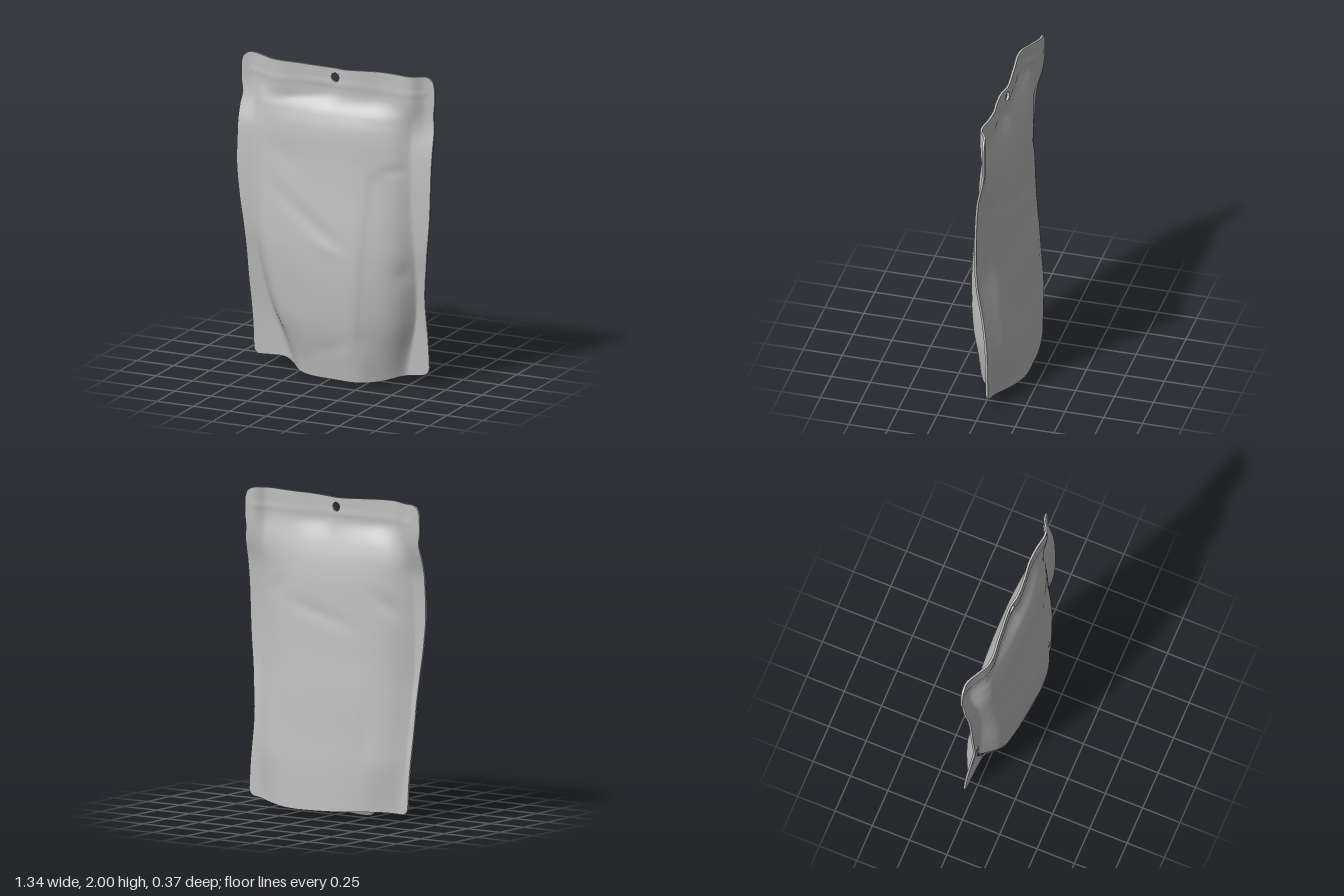
import * as THREE from 'three';

const NX = 80, NY = 100;          // grid across and up each panel
const HOLE = { i: 40, j: 97, x: 0, y: 1.925, r: 0.03 };
const FOIL = 0.007;               // half the thickness of the sealed foil
const { clamp, lerp, smoothstep } = THREE.MathUtils;

// Smooth curve through [position, value] pairs
function curve(...p) {
  const f = new THREE.CubicInterpolant(p.map(a => a[0]), p.map(a => a[1]), 1);
  const lo = p[0][0], hi = p[p.length - 1][0];
  return t => f.evaluate(Math.min(hi - 1e-6, Math.max(lo, t)))[0];
}

// Outline of the pouch
const leftEdge = curve([0, -0.59], [0.2, -0.592], [0.5, -0.605], [0.85, -0.62], [1.1, -0.65], [1.3, -0.668], [1.5, -0.669], [1.72, -0.667], [1.8, -0.657], [1.87, -0.668], [2, -0.668]);
const rightEdge = curve([0, 0.625], [0.15, 0.62], [0.5, 0.605], [0.8, 0.632], [1.05, 0.655], [1.4, 0.664], [1.73, 0.668], [1.8, 0.66], [1.87, 0.665], [2, 0.665]);
const topEdge = curve([-0.6, 2], [-0.3, 1.995], [0, 1.984], [0.25, 1.995], [0.6, 1.998]);
const frontBottom = curve([-0.6, 0.05], [-0.48, 0.06], [-0.36, 0.06], [-0.29, 0.025], [-0.2, 0.003], [0, 0.002], [0.32, 0.015], [0.45, 0.045], [0.62, 0.07]);
const backBottom = curve([-0.6, 0.05], [-0.4, 0.06], [-0.1, 0.045], [0.25, 0.04], [0.45, 0.055], [0.62, 0.07]);

// Depth of the seam, and the wave along the top edge
const seamZ = curve([0, -0.037], [0.4, -0.024], [0.7, 0.004], [0.9, 0.026], [1.2, 0.031], [1.5, 0.018], [1.75, -0.015], [2, -0.015]);
const topWave = curve([-0.67, -0.04], [-0.58, -0.042], [-0.5, -0.005], [-0.42, 0.035], [-0.2, 0.025], [0, 0.012], [0.06, 0.025], [0.2, 0.022], [0.3, 0.01], [0.4, 0.015], [0.53, 0.028], [0.6, -0.01], [0.67, -0.022]);

// Each panel: bulge depth up the pouch, side creases and bulge shape across
const frontPanel = {
  side: 1, bottom: frontBottom,
  depth: curve([0, 0.12], [0.1, 0.135], [0.3, 0.165], [0.5, 0.183], [0.8, 0.183], [1, 0.166], [1.2, 0.143], [1.4, 0.123], [1.62, 0.104], [1.72, 0.075], [1.85, 0.052]),
  left: curve([0, -0.32], [0.2, -0.38], [0.45, -0.47], [0.8, -0.54], [1.2, -0.555], [1.8, -0.57]),
  right: curve([0, 0.47], [0.2, 0.5], [0.45, 0.54], [0.7, 0.55], [1.2, 0.53], [1.8, 0.52]),
  across: curve([-1, 0], [-0.8, 0.6], [-0.6, 0.77], [-0.38, 0.87], [0, 0.96], [0.28, 1], [0.5, 0.9], [0.83, 0.5], [1, 0]),
  // folds and dents: x, y, half width, half height, tilt, depth
  dents: [[-0.12, 1.02, 0.28, 0.05, -0.6, -0.008], [0.02, 0.86, 0.12, 0.04, -0.3, 0.005],
    [-0.2, 0.5, 0.06, 0.2, 0.3, -0.005], [0.05, 0.22, 0.2, 0.05, 0.4, -0.004],
    [0.5, 0.72, 0.05, 0.06, 0, -0.012], [0.44, 1.38, 0.1, 0.035, 0.1, -0.008],
    [-0.3, 1.4, 0.15, 0.08, -0.7, -0.005], [-0.2, 1.79, 0.2, 0.02, 0.15, -0.008]],
};
const backPanel = {
  side: -1, bottom: backBottom,
  depth: curve([0, -0.182], [0.3, -0.167], [0.5, -0.152], [0.8, -0.132], [1, -0.114], [1.3, -0.094], [1.5, -0.079], [1.63, -0.058], [1.74, -0.028], [1.85, -0.022]),
  left: curve([0, -0.56], [0.5, -0.57], [1.2, -0.59], [1.8, -0.56]),
  right: curve([0, 0.59], [0.5, 0.58], [1.2, 0.57], [1.8, 0.53]),
  across: curve([-1, 0], [-0.8, 0.47], [-0.6, 0.76], [-0.2, 0.97], [0.1, 1], [0.42, 0.95], [0.72, 0.63], [0.92, 0.18], [1, 0]),
  dents: [[0.05, 1.26, 0.25, 0.05, 0.25, 0.007], [-0.3, 0.5, 0.06, 0.3, 0.15, 0.006],
    [0.35, 0.7, 0.06, 0.3, -0.1, 0.005], [-0.42, 1.35, 0.12, 0.05, 0.6, 0.006], [0.42, 1.4, 0.1, 0.05, -0.5, 0.006]],
};

// How far a rounded corner of radius r falls at distance d from the side
function cornerDrop(d, r) {
  return d < r ? r - Math.sqrt(Math.max(0, r * r - (r - d) ** 2)) : 0;
}

// A point on one panel at grid position i, j
function panelPoint(panel, i, j) {
  const t = i / NX, v = j / NY;
  const u = t - 0.6 / (2 * Math.PI) * Math.sin(2 * Math.PI * t);
  const l = leftEdge(v * 2), r = rightEdge(v * 2);
  let x = lerp(l, r, u);
  const d = Math.min(x - l, r - x);
  let y = lerp(panel.bottom(x) + cornerDrop(d, 0.045), topEdge(x) - cornerDrop(d, 0.07), v);
  // Draw the grid around the hanging hole into a ring
  const di = i - HOLE.i, dj = j - HOLE.j;
  if (Math.max(Math.abs(di), Math.abs(dj)) === 1) {
    const k = HOLE.r / Math.hypot(di, dj);
    x = HOLE.x + di * k;
    y = HOLE.y + dj * k;
  }
  // Middle surface, with the lower right corner swept back
  const sweep = 0.02 * (1 - smoothstep(y, 0, 0.6)) * smoothstep(-x, 0.2, 0.6);
  const c = lerp(seamZ(y) - sweep, topWave(x), smoothstep(y, 1.55, 1.85));
  const pl = panel.left(y), pr = panel.right(y);
  const q = clamp((2 * x - pl - pr) / (pr - pl), -1, 1);
  const inside = clamp(panel.across(q), 0, 1);
  const swell = inside ** (1.7 - 0.7 * smoothstep(y, 0, 0.4)) * (1 - smoothstep(y, 1.7, 1.84));
  let z = lerp(c + panel.side * FOIL, panel.depth(y), swell);
  for (const [dx, dy, w, h, tilt, a] of panel.dents) {
    const px = x - dx, py = y - dy, cs = Math.cos(tilt), sn = Math.sin(tilt);
    z += a * Math.exp(-(((px * cs + py * sn) / w) ** 2) - ((-px * sn + py * cs) / h) ** 2) * Math.min(1, swell * 2);
  }
  // Sunken fold down the front's left side
  if (panel.side > 0) {
    z -= 0.008 * swell * smoothstep(x, 0.17 + y * 0.06, 0.23 + y * 0.06) * smoothstep(y, 0.12, 0.3) * (1 - smoothstep(y, 1.3, 1.38));
  }
  // Zip ridge below the hanging hole
  z += panel.side * 0.004 * Math.exp(-(((y - 1.885) / 0.01) ** 2)) * smoothstep(d, 0.04, 0.07);
  return [x, y, z];
}

// Grid surface from a point rule
function surface(nx, ny, point, flip = false, skip = () => false) {
  const pos = [], index = [];
  for (let j = 0; j <= ny; j++) for (let i = 0; i <= nx; i++) pos.push(...point(i, j));
  for (let j = 0; j < ny; j++) for (let i = 0; i < nx; i++) {
    if (skip(i, j)) continue;
    const a = j * (nx + 1) + i, b = a + 1, d = a + nx + 1, c = d + 1;
    index.push(...(flip ? [a, c, b, a, d, c] : [a, b, c, a, c, d]));
  }
  const g = new THREE.BufferGeometry();
  g.setAttribute('position', new THREE.Float32BufferAttribute(pos, 3));
  g.setIndex(index);
  g.computeVertexNormals();
  return g;
}

export function createModel() {
  const group = new THREE.Group();
  const foil = new THREE.MeshStandardMaterial({ color: 0xc0c0c0, side: THREE.DoubleSide });
  foil.name = 'grey foil';
  const add = (name, geometry) => {
    const mesh = new THREE.Mesh(geometry, foil);
    mesh.name = name;
    group.add(mesh);
  };
  const front = (i, j) => panelPoint(frontPanel, i, j);
  const back = (i, j) => panelPoint(backPanel, i, j);
  const inHole = (i, j) => Math.abs(i + 0.5 - HOLE.i) < 1 && Math.abs(j + 0.5 - HOLE.j) < 1;

  add('frontPanel', surface(NX, NY, front, false, inHole));
  add('backPanel', surface(NX, NY, back, true, inHole));

  // Thin sealed edges
  add('leftSeam', surface(1, NY, (i, j) => (i ? back : front)(NX, j)));
  add('rightSeam', surface(1, NY, (i, j) => (i ? back : front)(0, j), true));
  add('topSeam', surface(NX, 1, (i, j) => (j ? back : front)(i, NY)));

  // Bottom gusset folded up between the panels
  add('bottomGusset', surface(NX, 16, (i, j) => {
    const a = front(i, 0), b = back(i, 0), t = j / 16;
    const rise = 0.6 * Math.max(0, a[2] - b[2] - 2 * FOIL) * (1 - Math.abs(2 * t - 1) ** 1.5);
    return [lerp(a[0], b[0], t), lerp(a[1], b[1], t) + rise, lerp(a[2], b[2], t)];
  }, true));

  // Wall of the hanging hole
  const ring = [[1, 0], [1, 1], [0, 1], [-1, 1], [-1, 0], [-1, -1], [0, -1], [1, -1], [1, 0]];
  add('hangingHole', surface(8, 1, (i, j) => (j ? back : front)(HOLE.i + ring[i][0], HOLE.j + ring[i][1])));
  return group;
}
